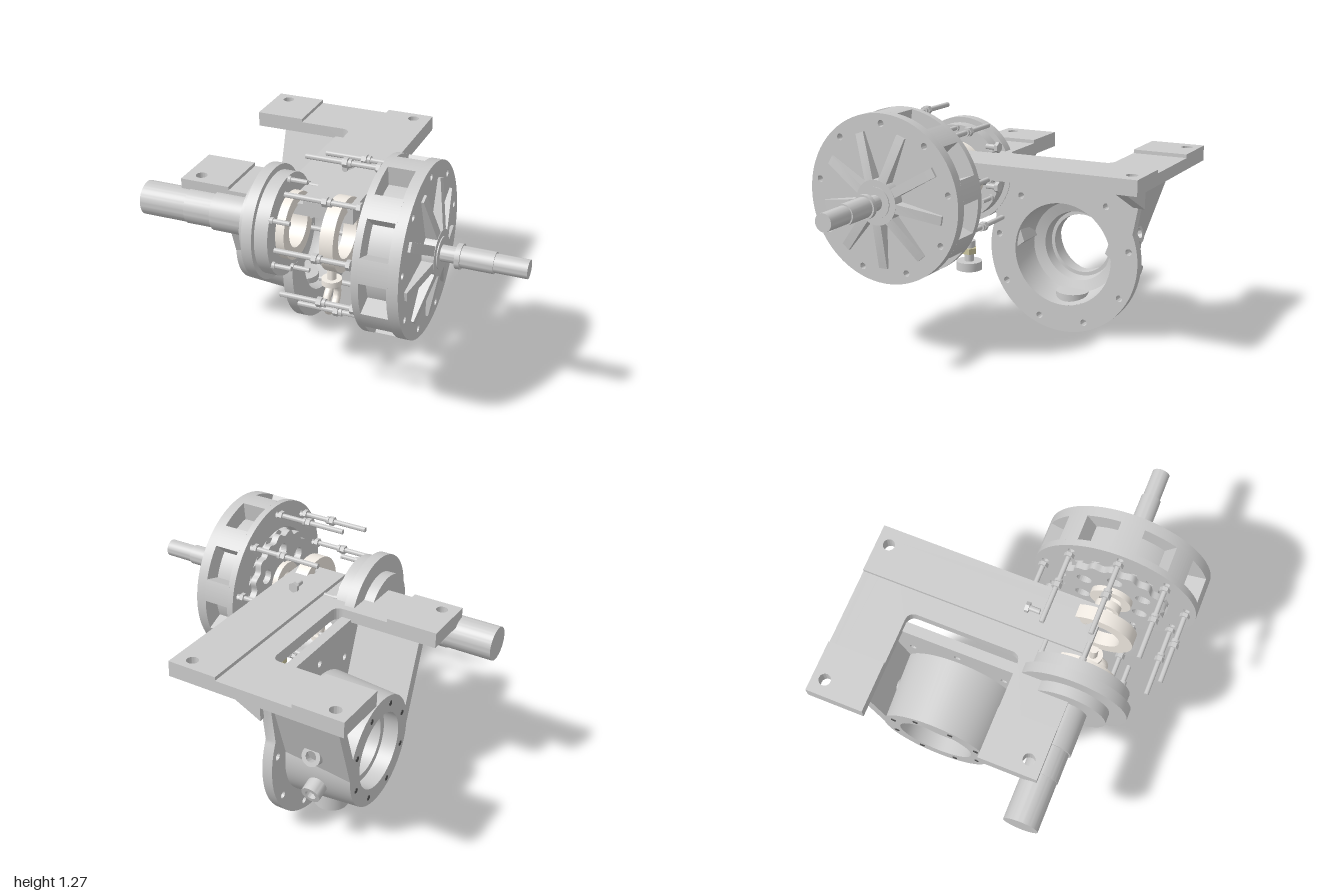
import * as THREE from 'three';
import { toCreasedNormals } from 'three/addons/utils/BufferGeometryUtils.js';

const grey = new THREE.MeshStandardMaterial({ color: 0xcccccc });
const pale = new THREE.MeshStandardMaterial({ color: 0xf2ece4 });
const brass = new THREE.MeshStandardMaterial({ color: 0xcfc9a0 });
const rad = THREE.MathUtils.degToRad;

function add(parent, name, geo, mat = grey) {
  const mesh = new THREE.Mesh(toCreasedNormals(geo, 0.6), mat);
  mesh.name = name;
  parent.add(mesh);
  return mesh;
}

// Turned solid about the x axis; profile is [radius, x], outside first in +x order
function turned(profile, sides = 64) {
  const pts = profile.map(([r, x]) => new THREE.Vector2(r, x));
  return new THREE.LatheGeometry(pts, sides).rotateZ(-Math.PI / 2);
}
const ringAlongX = (ro, ri, x0, x1, sides) =>
  turned([[ri, x0], [ro, x0], [ro, x1], [ri, x1], [ri, x0]], sides);
const rodAlongX = (r, x0, x1, sides = 16) =>
  new THREE.CylinderGeometry(r, r, x1 - x0, sides).rotateZ(-Math.PI / 2).translate((x0 + x1) / 2, 0, 0);
const rodAlongY = (r, y0, y1, sides = 24) =>
  new THREE.CylinderGeometry(r, r, y1 - y0, sides).translate(0, (y0 + y1) / 2, 0);

const polygon = (pts) => new THREE.Shape(pts.map(([a, b]) => new THREE.Vector2(a, b)));
function hole(shape, x, y, r) {
  shape.holes.push(new THREE.Path().absarc(x, y, r, 0, Math.PI * 2, true));
}
function extrude(shape, depth) {
  return new THREE.ExtrudeGeometry(shape, { depth, bevelEnabled: false, curveSegments: 40 });
}
// Shape drawn as (-z, y), swept along x
const slabX = (shape, x0, x1) => extrude(shape, x1 - x0).rotateY(Math.PI / 2).translate(x0, 0, 0);
// Shape drawn as (x, -z), swept up y
const slabY = (shape, y0, y1) => extrude(shape, y1 - y0).rotateX(-Math.PI / 2).translate(0, y0, 0);

function disc(r) {
  return new THREE.Shape().absarc(0, 0, r, 0, Math.PI * 2, false);
}
function holeCircle(shape, cx, cy, r, holeR, count) {
  for (let i = 0; i < count; i++) {
    const a = Math.PI / 2 + (i * 2 * Math.PI) / count;
    hole(shape, cx + r * Math.cos(a), cy + r * Math.sin(a), holeR);
  }
}

function mountingPlate() {
  const g = new THREE.Group();
  g.name = 'mountingPlate';
  const hr = 0.03;
  // C-shaped base with rounded inner corners
  const c = new THREE.Shape();
  c.moveTo(-0.8, -0.375); c.lineTo(0.13, -0.375); c.lineTo(0.13, 0.815); c.lineTo(-0.8, 0.815);
  c.lineTo(-0.8, 0.52); c.lineTo(-0.295, 0.52);
  c.quadraticCurveTo(-0.245, 0.52, -0.245, 0.47);
  c.lineTo(-0.245, -0.025);
  c.quadraticCurveTo(-0.245, -0.075, -0.295, -0.075);
  c.lineTo(-0.8, -0.075);
  const strip = polygon([[-0.13, -0.375], [0.13, -0.375], [0.13, 0.815], [-0.13, 0.815]]);
  const backPad = polygon([[-0.8, 0.52], [-0.535, 0.52], [-0.535, 0.815], [-0.8, 0.815]]);
  const frontPad = polygon([[-0.8, -0.375], [-0.535, -0.375], [-0.535, -0.075], [-0.8, -0.075]]);
  for (const s of [c, strip]) { hole(s, 0.04, 0.75, hr); hole(s, 0.04, -0.305, hr); }
  for (const s of [c, backPad]) hole(s, -0.72, 0.75, hr);
  for (const s of [c, frontPad]) hole(s, -0.72, -0.305, hr);
  add(g, 'plateBase', slabY(c, 0.905, 0.967));
  for (const s of [strip, backPad, frontPad]) add(g, 'raisedPad', slabY(s, 0.967, 0.986));
  g.rotation.x = 0.011;
  return g;
}

function housing() {
  const g = new THREE.Group();
  g.name = 'housing';
  const cu = 0.22, cy = 0.435;
  // Flange and upright web in one slab
  const web = new THREE.Shape();
  web.moveTo(0.68, 0.92); web.lineTo(-0.24, 0.92); web.lineTo(-0.18, 0.6);
  web.absarc(cu, cy, 0.433, rad(157.6), rad(382.4), false);
  hole(web, cu, cy, 0.283);
  holeCircle(web, cu, cy, 0.387, 0.018, 9);
  add(g, 'flangeWeb', slabX(web, -0.335, -0.28));
  // Hollow tapered barrel
  const barrel = add(g, 'barrel', turned([
    [0.2, -0.68], [0.29, -0.68], [0.315, -0.33], [0.283, -0.283], [0.275, -0.4], [0.255, -0.45],
    [0.195, -0.47], [0.185, -0.53], [0.165, -0.53], [0.165, -0.6], [0.2, -0.6], [0.2, -0.68]], 72));
  barrel.position.set(0, cy, -cu);
  for (let i = 0; i < 8; i++) {
    const a = (i + 0.5) * Math.PI / 4;
    const m = add(g, 'endBoltHole', rodAlongX(0.014, -0.683, -0.67), new THREE.MeshStandardMaterial({ color: 0x555555 }));
    m.position.set(0, cy + 0.247 * Math.sin(a), -cu + 0.247 * Math.cos(a));
  }
  // Side walls and gussets on both sides
  const wall = [[0.68, 0.92], [0.62, 0.92], [0.46, 0.47], [0.51, 0.43]];
  for (const side of [1, -1]) {
    const pts = wall.map(([u, y]) => [cu + side * (u - cu), y]);
    add(g, 'sideWall', slabX(polygon(pts), -0.68, -0.3));
    const gusset = extrude(polygon([[-0.29, 0.74], [0.06, 0.92], [-0.29, 0.92]]), 0.06);
    add(g, 'gusset', gusset).position.z = -cu - side * 0.43 - 0.03;
  }
  // Pipe bosses: two at the back, one underneath
  const boss = (r, ri, len) => new THREE.LatheGeometry(
    [[0, 0.24], [r, 0.24], [r, len], [ri, len], [ri, len - 0.06], [0, len - 0.06]]
      .map((p) => new THREE.Vector2(...p)), 28);
  for (const [a, r, ri, len, x] of [[-72, 0.05, 0.028, 0.37, -0.5], [-108, 0.05, 0.028, 0.37, -0.5],
    [180, 0.09, 0.045, 0.415, -0.42]]) {
    const m = add(g, 'pipeBoss', boss(r, ri, len));
    m.position.set(x, cy, -cu);
    m.rotation.x = rad(a);
  }
  return g;
}

function rotorWheel() {
  const g = new THREE.Group();
  g.name = 'rotorWheel';
  const back = disc(0.433), front = disc(0.433);
  hole(back, 0, 0, 0.29);
  holeCircle(back, 0, 0, 0.383, 0.017, 9);
  holeCircle(front, 0, 0, 0.383, 0.017, 9);
  add(g, 'backRing', slabX(back, 0.29, 0.325));
  add(g, 'frontDisc', slabX(front, 0.46, 0.515));
  add(g, 'innerRing', ringAlongX(0.335, 0.29, 0.32, 0.465));
  for (let i = 0; i < 9; i++) {
    const a = rad(90 + 40 * i), w = rad(8);
    // Rim post between two windows
    const post = new THREE.Shape();
    post.absarc(0, 0, 0.433, a - w, a + w, false);
    post.absarc(0, 0, 0.32, a + w, a - w, true);
    add(g, 'rimPost', slabX(post, 0.32, 0.465));
    // Tapered face rib
    const rib = extrude(polygon([[0.5, 0.08], [0.573, 0.08], [0.573, 0.12], [0.528, 0.35], [0.5, 0.35]]), 0.048);
    add(g, 'faceRib', rib.translate(0, 0, -0.024)).rotation.x = rad(20 + 40 * i);
    // Long through bolt with nuts
    const bolt = new THREE.Group();
    bolt.name = 'throughBolt';
    add(bolt, 'boltShank', rodAlongX(0.013, -0.11, 0.26));
    add(bolt, 'boltHead', rodAlongX(0.026, 0.25, 0.27, 6));
    add(bolt, 'nut', rodAlongX(0.025, 0.08, 0.105, 6));
    add(bolt, 'washer', rodAlongX(0.021, 0.11, 0.125));
    bolt.position.set(0, 0.383 * Math.sin(a), -0.383 * Math.cos(a));
    g.add(bolt);
  }
  add(g, 'hubAndShaft', turned([[0, 0.5], [0.115, 0.5], [0.115, 0.575], [0.08, 0.575], [0.08, 0.58],
    [0.04, 0.58], [0.04, 0.655], [0.062, 0.655], [0.062, 0.68], [0.053, 0.68], [0.053, 0.84],
    [0.046, 0.84], [0.046, 1], [0, 1]], 40));
  // Lobed discs with pin holes and rollers
  const lobed = new THREE.Shape();
  const n = 17;
  for (let i = 0; i < n * 10; i++) {
    const a = (i / (n * 10)) * Math.PI * 2, r = 0.268 + 0.012 * Math.cos(n * a);
    lobed[i ? 'lineTo' : 'moveTo'](r * Math.cos(a), r * Math.sin(a));
  }
  hole(lobed, 0, 0, 0.1);
  holeCircle(lobed, 0, 0, 0.18, 0.04, 6);
  add(g, 'lobedDisc', slabX(lobed, 0.255, 0.29));
  add(g, 'lobedDisc', slabX(lobed, 0.3, 0.335)).rotation.x = Math.PI / n;
  add(g, 'eccentricBearing', ringAlongX(0.11, 0.06, 0.225, 0.3), pale);
  return g;
}

function outputShaft() {
  const g = new THREE.Group();
  g.name = 'outputShaft';
  add(g, 'shaftAndFlange', turned([[0, -1], [0.088, -1], [0.088, -0.75], [0.092, -0.75], [0.092, -0.6],
    [0.102, -0.6], [0.102, -0.385], [0.2, -0.385], [0.2, -0.33], [0.29, -0.33], [0.29, -0.275],
    [0.26, -0.275], [0.26, -0.205], [0.17, -0.205], [0.17, -0.3], [0, -0.3]]));
  add(g, 'flangeBearing', ringAlongX(0.172, 0.11, -0.29, -0.16), pale);
  for (let i = 0; i < 6; i++) {
    const a = rad(90 + 60 * i), pin = new THREE.Group();
    pin.name = 'drivePin';
    add(pin, 'pinShank', rodAlongX(0.012, -0.24, -0.105));
    add(pin, 'pinCollar', rodAlongX(0.018, -0.21, -0.19));
    pin.position.set(0, 0.243 * Math.sin(a), 0.243 * Math.cos(a));
    g.add(pin);
  }
  // Loose bearings along the axis
  add(g, 'largeBearing', ringAlongX(0.188, 0.12, 0.03, 0.1), pale);
  add(g, 'smallBearing', ringAlongX(0.068, 0.04, 0.165, 0.205, 32), pale);
  return g;
}

function fittings() {
  const g = new THREE.Group();
  g.name = 'fittings';
  // Lifting eye
  const eye = new THREE.Group();
  eye.name = 'liftingEye';
  add(eye, 'eyeRing', new THREE.TorusGeometry(0.07, 0.02, 16, 40).rotateY(Math.PI / 2).translate(0, 0.47, 0), pale);
  add(eye, 'eyeCollar', rodAlongY(0.052, 0.55, 0.58), pale);
  add(eye, 'eyeStem', rodAlongY(0.024, 0.58, 0.67), pale);
  eye.position.set(0.015, 0, 0.385);
  g.add(eye);
  // Breather plug
  const plug = new THREE.Group();
  plug.name = 'breatherPlug';
  add(plug, 'plugCap', rodAlongY(0.067, 0.415, 0.46, 32));
  add(plug, 'plugNeck', rodAlongY(0.025, 0.46, 0.55));
  add(plug, 'plugHex', rodAlongY(0.04, 0.5, 0.53, 6), brass);
  add(plug, 'plugThread', rodAlongY(0.033, 0.535, 0.57));
  plug.position.set(0.115, 0, 0.125);
  g.add(plug);
  // Two small screws pointing forward
  for (const y of [1.04, 0.83]) {
    const screw = new THREE.Group();
    screw.name = 'smallScrew';
    add(screw, 'screwHead', rodAlongY(0.028, 0.025, 0.045, 6));
    add(screw, 'screwShank', rodAlongY(0.014, 0.04, 0.1));
    screw.rotation.x = Math.PI / 2;
    screw.position.set(-0.03, y, 0);
    g.add(screw);
  }
  return g;
}

export function createModel() {
  const model = new THREE.Group();
  model.name = 'gearUnit';
  const wheel = rotorWheel(), shaft = outputShaft();
  for (const part of [wheel, shaft]) part.position.set(0, 0.84, 0.383);
  model.add(mountingPlate(), housing(), wheel, shaft, fittings());
  return model;
}
